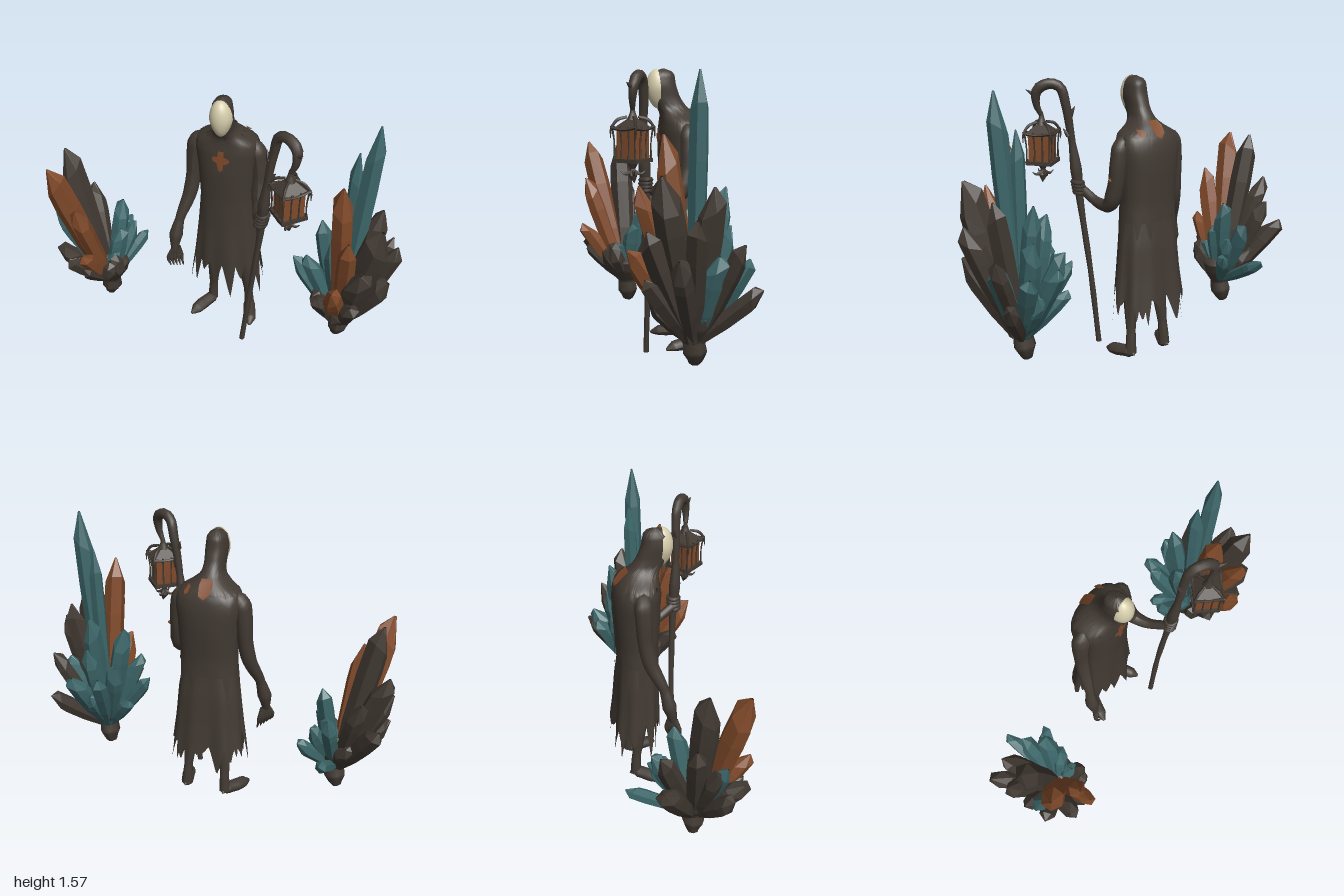
import * as THREE from 'three';

const mat = (name, color) => {
  const m = new THREE.MeshStandardMaterial({ color, side: THREE.DoubleSide });
  m.name = name;
  return m;
};
const V = (p) => new THREE.Vector3(...p);

export function createModel() {
  const dark = mat('darkCloth', 0x423a33);
  const rust = mat('rustOrange', 0x804a2a);
  const teal = mat('deepTeal', 0x3d676a);
  const bone = mat('boneMask', 0xd6cdac);
  const root = new THREE.Group();
  root.name = 'cloakedWandererWithCrystals';

  const add = (parent, name, geo, material) => {
    const m = new THREE.Mesh(geo, material);
    m.name = name;
    parent.add(m);
    return m;
  };
  const group = (name) => {
    const g = new THREE.Group();
    g.name = name;
    root.add(g);
    return g;
  };

  // Tube of varying radius along a smooth path
  function limb(parent, name, pts, radii, material = dark, sides = 10) {
    const curve = new THREE.CatmullRomCurve3(pts.map(V));
    const n = pts.length * 6;
    const geo = new THREE.TubeGeometry(curve, n, 1, sides);
    const pos = geo.attributes.position, nor = geo.attributes.normal;
    for (let i = 0; i < pos.count; i++) {
      const t = Math.floor(i / (sides + 1)) / n;
      const f = t * (radii.length - 1), k = Math.min(Math.floor(f), radii.length - 2);
      const r = THREE.MathUtils.lerp(radii[k], radii[k + 1], f - k);
      const p = curve.getPointAt(t);
      pos.setXYZ(i, p.x + nor.getX(i) * r, Math.max(0.004, p.y + nor.getY(i) * r), p.z + nor.getZ(i) * r);
    }
    geo.computeVertexNormals();
    return add(parent, name, geo, material);
  }

  // Body profile from crown to hem: y, centre z, half width, half depth
  const body = [
    [1.575, -0.03, 0.004, 0.004], [1.568, -0.03, 0.03, 0.042], [1.54, -0.025, 0.05, 0.068],
    [1.48, -0.022, 0.058, 0.08], [1.41, -0.045, 0.054, 0.083], [1.36, -0.08, 0.058, 0.085],
    [1.325, -0.11, 0.09, 0.095], [1.28, -0.128, 0.165, 0.112], [1.23, -0.13, 0.178, 0.12],
    [1.1, -0.13, 0.162, 0.122], [0.9, -0.13, 0.152, 0.11], [0.7, -0.135, 0.166, 0.112],
    [0.5, -0.14, 0.184, 0.122], [0.15, -0.16, 0.228, 0.142],
  ];
  const section = (y) => {
    let k = 0;
    while (k < body.length - 2 && y < body[k + 1][0]) k++;
    const t = THREE.MathUtils.clamp((body[k][0] - y) / (body[k][0] - body[k + 1][0]), 0, 1);
    return body[k].map((v, j) => THREE.MathUtils.lerp(v, body[k + 1][j], t));
  };
  const SQUARE = 0.85;
  const square = (v) => Math.sign(v) * Math.abs(v) ** SQUARE;

  // Cloth wrapped on the body profile, angle 0 at the front, with a torn hem
  function cloth(name, top, hem, a0, a1, offset, seg, rows) {
    const pos = [], idx = [];
    for (let r = 0; r <= rows; r++) for (let i = 0; i <= seg; i++) {
      const a = THREE.MathUtils.lerp(a0, a1, i / seg);
      const y = THREE.MathUtils.lerp(top, hem(a), r / rows);
      const [, cz, rx, rz] = section(y);
      const fold = THREE.MathUtils.clamp((0.85 - y) / 0.5, 0, 1) * (0.007 * Math.sin(a * 9) + 0.006 * Math.sin(a * 5 + 1));
      const out = fold + offset * THREE.MathUtils.clamp((top - y) / 0.12, 0, 1);
      pos.push(-0.012 + (rx + out) * square(Math.sin(a)), y, cz + (rz + out) * square(Math.cos(a)));
    }
    for (let r = 0; r < rows; r++) for (let i = 0; i < seg; i++) {
      const a = r * (seg + 1) + i, c = a + seg + 1;
      idx.push(a, c, a + 1, a + 1, c, c + 1);
    }
    const geo = new THREE.BufferGeometry();
    geo.setAttribute('position', new THREE.Float32BufferAttribute(pos, 3));
    geo.setIndex(idx);
    geo.computeVertexNormals();
    return add(figure, name, geo, dark);
  }
  const tooth = (a, n) => {
    const f = ((a * n) / (2 * Math.PI) + 50) % 1;
    return (1 - Math.abs(f * 2 - 1)) * (0.65 + 0.35 * Math.sin(a * 5 + 1));
  };

  const figure = group('figure');
  cloth('hoodAndRobe', 1.575, (a) => 0.44 - 0.24 * tooth(a, 17), -Math.PI, Math.PI, 0, 136, 70);
  cloth('tornCape', 1.3, (a) => 0.88 - 0.24 * tooth(a, 12), Math.PI * 0.62, Math.PI * 1.38, 0.014, 72, 16);
  cloth('rearTatters', 0.8, (a) => 0.38 - 0.17 * tooth(a + 0.3, 14), Math.PI * 0.55, Math.PI * 1.45, 0.012, 72, 12);

  // Smooth egg-shaped mask tapering to the chin
  const maskGeo = new THREE.SphereGeometry(1, 24, 20, 0, Math.PI);
  const mp = maskGeo.attributes.position;
  for (let i = 0; i < mp.count; i++) {
    const y = mp.getY(i), w = y < 0 ? 1 + 0.28 * y : 1;
    mp.setXYZ(i, mp.getX(i) * 0.063 * w - 0.011, 1.462 + y * 0.111, -0.002 + mp.getZ(i) * 0.068 + y * 0.008);
  }
  maskGeo.computeVertexNormals();
  add(figure, 'mask', maskGeo, bone);

  // Flat emblems laid on the robe
  function patch(name, pts, side) {
    const geo = new THREE.ShapeGeometry(new THREE.Shape(pts.map((p) => new THREE.Vector2(...p))));
    const p = geo.attributes.position;
    for (let i = 0; i < p.count; i++) {
      const [, cz, rx, rz] = section(p.getY(i));
      const u = Math.min(1, Math.abs((p.getX(i) + 0.012) / rx));
      const bulge = (1 - u ** (2 / SQUARE)) ** (SQUARE / 2);
      p.setZ(i, cz + side * (rz * bulge + (side > 0 ? 0.007 : 0.014)));
    }
    geo.computeVertexNormals();
    add(figure, name, geo, rust);
  }
  patch('chestEmblem', [[-0.025, 1.12], [-0.005, 1.13], [0.0, 1.17], [0.02, 1.175], [0.035, 1.195], [0.02, 1.212],
    [0.002, 1.215], [0.0, 1.25], [-0.03, 1.25], [-0.035, 1.215], [-0.066, 1.212], [-0.062, 1.185], [-0.04, 1.175]], 1);
  patch('backPatch', [[-0.045, 1.352], [-0.053, 1.325], [-0.05, 1.29], [-0.02, 1.262], [0.01, 1.28], [0.018, 1.325], [0.015, 1.352]], -1);
  patch('smallBackPatch', [[0.068, 1.312], [0.072, 1.285], [0.09, 1.272], [0.1, 1.285], [0.09, 1.312]], -1);

  // Hanging arm with long fingers
  limb(figure, 'rightArm', [[-0.11, 1.25, -0.13], [-0.178, 1.235, -0.13], [-0.2, 1.15, -0.13], [-0.21, 1.0, -0.125],
    [-0.228, 0.87, -0.1], [-0.27, 0.73, -0.04], [-0.292, 0.61, -0.01], [-0.296, 0.52, 0.01]],
    [0.03, 0.05, 0.046, 0.042, 0.042, 0.036, 0.027, 0.04, 0.02]);
  for (let i = 0; i < 5; i++) {
    const x = -0.326 + i * 0.014, z = 0.038 - i * 0.015;
    limb(figure, 'finger', [[-0.302 + i * 0.005, 0.53, z * 0.5], [x, 0.47, z], [x + 0.018, 0.395 + 0.008 * (4 - i), z + 0.012]],
      [0.015, 0.014, 0.003], dark, 6);
  }
  // Bent arm gripping the staff
  limb(figure, 'leftArm', [[0.09, 1.25, -0.13], [0.145, 1.235, -0.13], [0.17, 1.14, -0.13], [0.18, 1.0, -0.115],
    [0.192, 0.89, -0.07], [0.205, 0.885, 0.02], [0.235, 0.94, 0.125]], [0.03, 0.05, 0.048, 0.046, 0.048, 0.036, 0.027, 0.025]);
  limb(figure, 'armPatch', [[0.222, 1.055, -0.13], [0.226, 1.045, -0.13], [0.222, 1.03, -0.13]], [0.002, 0.012, 0.002], rust, 6);
  for (let i = 0; i < 4; i++) {
    const ring = add(figure, 'grippingFinger', new THREE.TorusGeometry(0.028, 0.014, 6, 12), dark);
    ring.position.set(0.25 + i * 0.004, 0.925 + i * 0.02, 0.137);
    ring.rotation.set(Math.PI / 2, 0.15, 0);
  }

  // Legs and bare feet
  for (const [s, x] of [[-1, -0.105], [1, 0.11]]) {
    limb(figure, 'leg', [[x * 0.8, 0.55, -0.13], [x * 0.95, 0.3, -0.15], [x * 1.05, 0.13, -0.17], [x * 1.1, 0.03, -0.175]],
      [0.05, 0.046, 0.036, 0.026, 0.032]);
    const toe = x * 1.15 + s * (s < 0 ? 0.085 : 0.04);
    limb(figure, 'foot', [[x * 1.1, 0.03, -0.213], [x * 1.12, 0.035, -0.17], [(x * 1.15 + toe) / 2, 0.025, -0.09], [toe, 0.012, -0.004]],
      [0.003, 0.035, 0.036, 0.038, 0.036, 0.008]);
  }

  // Gnarled staff with a curled hook
  const staff = group('staff');
  limb(staff, 'staffPole', [[0.15, 0.005, 0.11], [0.2, 0.45, 0.112], [0.248, 0.85, 0.13], [0.27, 1.1, 0.148], [0.295, 1.3, 0.158],
    [0.315, 1.42, 0.16], [0.34, 1.515, 0.175], [0.39, 1.535, 0.205], [0.445, 1.5, 0.24], [0.445, 1.42, 0.25], [0.42, 1.36, 0.243]],
    [0.016, 0.015, 0.017, 0.015, 0.018, 0.017, 0.022, 0.034, 0.02, 0.024, 0.028, 0.03, 0.012]);
  for (const [a, b] of [[[0.29, 1.36, 0.16], [0.27, 1.41, 0.14]], [[0.45, 1.47, 0.25], [0.485, 1.5, 0.29]], [[0.3, 1.25, 0.16], [0.33, 1.29, 0.17]]]) {
    limb(staff, 'thorn', [a, b.map((v, i) => (v + a[i]) / 2), b], [0.018, 0.01, 0.001], dark, 6);
  }

  // Caged lantern
  const lantern = group('lantern');
  lantern.position.set(0.42, 0, 0.243);
  lantern.rotation.y = 0.7;
  const box = (name, w, h, d, y, m) => {
    add(lantern, name, new THREE.BoxGeometry(w, h, d), m).position.y = y;
  };
  box('glowingPanes', 0.118, 0.155, 0.118, 1.19, rust);
  box('lanternBase', 0.148, 0.02, 0.148, 1.105, dark);
  const cap = add(lantern, 'lanternRoof', new THREE.CylinderGeometry(0.025, 0.108, 0.055, 4).toNonIndexed(), dark);
  cap.geometry.computeVertexNormals();
  cap.position.y = 1.29;
  cap.rotation.y = Math.PI / 4;
  limb(lantern, 'lanternHanger', [[0, 1.31, 0], [0, 1.34, 0], [0, 1.38, 0]], [0.03, 0.016, 0.008]);
  for (let k = 0; k < 4; k++) {
    const a = (k * Math.PI) / 2, at = (u, y, d) => [u * Math.cos(a) + d * Math.sin(a), y, d * Math.cos(a) - u * Math.sin(a)];
    for (const u of [-0.068, -0.022, 0.024]) {
      limb(lantern, 'cageBar', [at(u, 1.11, 0.066), at(u, 1.19, 0.064), at(u * 1.1, 1.275, 0.073)], [0.006, 0.004, 0.006], dark, 5);
    }
    limb(lantern, 'eave', [at(-0.08, 1.27, 0.075), at(0, 1.262, 0.075), at(0.082, 1.275, 0.075)], [0.009, 0.007, 0.009], dark, 5);
    limb(lantern, 'roofCurl', [at(0.02, 1.325, 0.02), at(0.055, 1.31, 0.055), at(0.078, 1.265, 0.078), at(0.08, 1.22, 0.08)],
      [0.008, 0.009, 0.007, 0.002], dark, 5);
    limb(lantern, 'lowerTwig', [at(0, 1.05, 0), at(0.03, 1.035, 0.03), at(0.045, 1.05, 0.045)], [0.012, 0.009, 0.002], dark, 5);
  }
  limb(lantern, 'lanternFinial', [[0, 1.1, 0], [0, 1.07, 0], [0, 1.04, 0], [0.01, 0.99, 0]], [0.035, 0.014, 0.024, 0.002], dark, 7);

  // Blunt faceted crystal from base to tip with a slanted point
  function crystal(parent, material, base, tip, r, seed) {
    const b = V(base), dir = V(tip).sub(b), h = dir.length();
    const profile = [[0.001, 0], [0.55 * r, 0], [0.9 * r, h * 0.35], [r, h * 0.68], [0.93 * r, h * 0.86], [0.1 * r, h]];
    let geo = new THREE.LatheGeometry(profile.map((p) => new THREE.Vector2(...p)), 6);
    const p = geo.attributes.position;
    for (let i = 0; i < p.count; i++) {
      const t = p.getY(i) / h;
      if (t > 0.8 && t < 0.99) p.setY(i, p.getY(i) + p.getX(i) * 0.8);
      p.setZ(i, p.getZ(i) * 0.88);
    }
    geo = geo.toNonIndexed();
    geo.rotateY(seed * 2.4);
    geo.computeVertexNormals();
    const m = add(parent, material.name + 'Crystal', geo, material);
    m.position.copy(b);
    m.quaternion.setFromUnitVectors(new THREE.Vector3(0, 1, 0), dir.normalize());
  }
  function cluster(name, base, sets) {
    const g = group(name);
    const [x, y, z] = base;
    limb(g, 'clusterRoot', [[x - 0.02, 0.1, z - 0.01], [x - 0.01, 0.14, z - 0.01], [x, 0.23, z], [x, 0.34, z], [x, 0.42, z]],
      [0.03, 0.062, 0.055, 0.1, 0.12, 0.03], dark, 7);
    let seed = 0;
    for (const [material, tips] of sets) for (const [tx, ty, tz, r] of tips) {
      crystal(g, material, [x + (tx - x) * 0.1, y, z + (tz - z) * 0.1], [tx, ty, tz], r, seed++);
    }
  }

  // Each tip: x, y, z, radius
  cluster('largeCrystalCluster', [0.71, 0.23, 0], [
    [teal, [[0.82, 1.56, 0.01, 0.056], [0.725, 1.36, -0.03, 0.046], [0.56, 0.89, -0.03, 0.062], [0.41, 0.6, -0.03, 0.045],
      [0.5, 0.7, 0.06, 0.05], [0.55, 0.72, -0.19, 0.055], [0.63, 0.66, -0.26, 0.055], [0.71, 0.99, -0.16, 0.058],
      [0.8, 0.64, -0.26, 0.058], [0.5, 0.48, -0.13, 0.045], [0.73, 0.8, -0.18, 0.058], [0.9, 0.68, -0.07, 0.068],
      [0.72, 0.5, -0.2, 0.055], [0.63, 0.82, 0.07, 0.05]]],
    [rust, [[0.68, 1.25, 0.15, 0.07], [0.75, 1.01, 0.29, 0.06], [0.69, 0.69, 0.335, 0.058]]],
    [dark, [[0.91, 1.07, 0.22, 0.088], [0.99, 0.87, 0.07, 0.064], [0.88, 1.01, -0.05, 0.07], [0.93, 0.51, -0.28, 0.05],
      [0.83, 0.8, 0.27, 0.078], [0.97, 0.68, 0.15, 0.062], [0.95, 0.74, -0.18, 0.052], [0.56, 0.47, 0.13, 0.055],
      [0.6, 0.54, 0.22, 0.055], [0.79, 0.56, 0.27, 0.062], [0.69, 0.45, 0.23, 0.055]]],
  ]);
  cluster('smallCrystalCluster', [-0.71, 0.24, 0.03], [
    [rust, [[-0.94, 1.11, 0.23, 0.076], [-0.78, 0.89, 0.28, 0.06], [-0.75, 0.6, 0.31, 0.05]]],
    [dark, [[-0.92, 1.13, 0.03, 0.073], [-0.985, 0.87, -0.04, 0.062], [-1.0, 0.72, 0.06, 0.052], [-0.98, 0.63, -0.2, 0.06],
      [-0.87, 0.76, -0.19, 0.058], [-0.98, 0.5, 0.16, 0.055], [-0.6, 0.46, 0.15, 0.058], [-0.87, 0.5, 0.25, 0.06],
      [-0.65, 0.43, 0.2, 0.052], [-0.8, 0.45, -0.14, 0.055], [-0.77, 0.46, 0.27, 0.055]]],
    [teal, [[-0.635, 0.76, -0.07, 0.055], [-0.54, 0.46, -0.19, 0.042], [-0.63, 0.6, 0.01, 0.052], [-0.7, 0.44, -0.34, 0.042],
      [-0.7, 0.64, -0.2, 0.052], [-0.98, 0.73, 0.12, 0.045], [-0.6, 0.55, -0.15, 0.045], [-0.65, 0.48, 0.1, 0.045]]],
  ]);
  return root;
}
